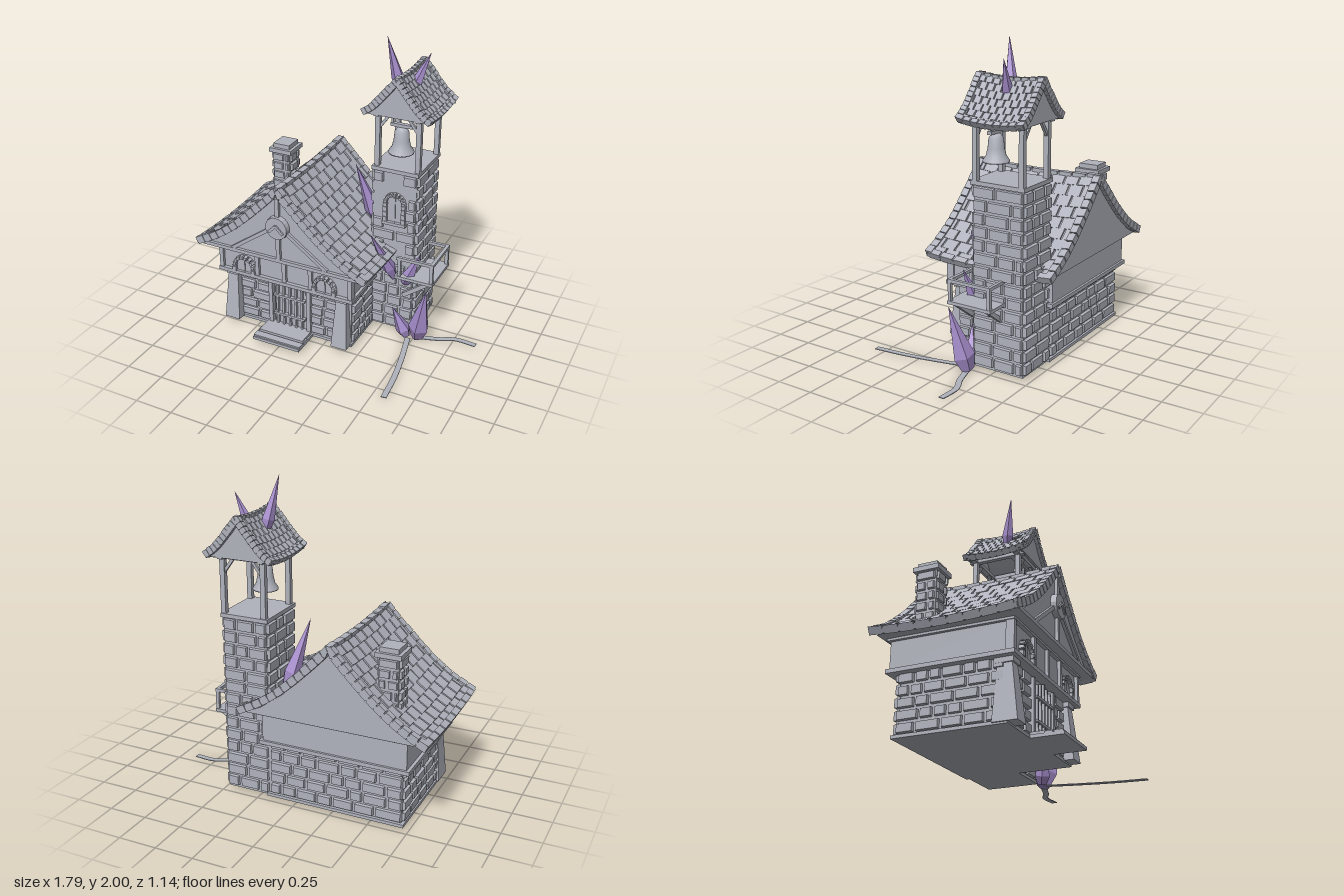
import * as THREE from 'three';
import { mergeGeometries } from 'three/addons/utils/BufferGeometryUtils.js';

const grey = new THREE.MeshStandardMaterial({ color: 0xb0b3bd });
grey.name = 'stone grey';
const purple = new THREE.MeshStandardMaterial({ color: 0xa990cf });
purple.name = 'crystal purple';

let seed = 7;
const rnd = () => (seed = (seed * 16807) % 2147483647) / 2147483647;
const V = (x, y, z) => new THREE.Vector3(x, y, z);

// merges flat-shaded pieces into one named mesh
function part(parent, name, geos, mat = grey) {
  const flat = geos.map(g => {
    const f = g.index ? g.toNonIndexed() : g;
    f.deleteAttribute('uv');
    f.computeVertexNormals();
    return f;
  });
  const mesh = new THREE.Mesh(mergeGeometries(flat), mat);
  mesh.name = name;
  parent.add(mesh);
}

// box given by its limits on each axis
const span = (x0, x1, y0, y1, z0, z1) =>
  new THREE.BoxGeometry(x1 - x0, y1 - y0, z1 - z0).translate((x0 + x1) / 2, (y0 + y1) / 2, (z0 + z1) / 2);

// square timber between two points
function beam(a, b, w) {
  const d = b.clone().sub(a);
  const q = new THREE.Quaternion().setFromUnitVectors(V(0, 1, 0), d.clone().normalize());
  return new THREE.BoxGeometry(w, d.length(), w).applyQuaternion(q).translate(...a.clone().add(b).multiplyScalar(0.5).toArray());
}

// box whose outer (+z) face is chamfered inwards
function stone(w, h, d, inset = 0.007) {
  const g = new THREE.BoxGeometry(w, h, d), p = g.attributes.position;
  for (let i = 0; i < p.count; i++) if (p.getZ(i) > 0)
    p.setXY(i, p.getX(i) - Math.sign(p.getX(i)) * inset, p.getY(i) - Math.sign(p.getY(i)) * inset);
  return g;
}

// staggered courses of stones on a wall; skip(x, y) leaves openings
function stoneWall(width, y0, y1, rows, size, turn, x, z, skip = () => false) {
  const out = [], h = (y1 - y0) / rows;
  for (let r = 0; r < rows; r++) {
    let u = -width / 2;
    while (u < width / 2 - 0.01) {
      let w = size * (0.65 + rnd() * 0.7);
      if (width / 2 - u - w < size * 0.4) w = width / 2 - u;
      const cx = u + w / 2, cy = y0 + (r + 0.5) * h;
      if (!skip(cx, cy))
        out.push(stone(w - 0.01, h - 0.01, 0.03 + rnd() * 0.012).translate(cx, cy, 0).rotateY(turn).translate(x, 0, z));
      u += w;
    }
  }
  return out;
}

// arch of wedge stones with straight legs
function arch(cx, cy, r, foot, z, n = 9) {
  const out = [], w = 0.026;
  for (let i = 0; i < n; i++) {
    const a = (i + 0.5) / n * Math.PI;
    out.push(stone(w, Math.PI * r / n - 0.003, 0.035, 0.003).rotateZ(a).translate(cx + Math.cos(a) * r, cy + Math.sin(a) * r, z));
  }
  for (const s of [-1, 1]) for (let y = foot; y < cy - 0.005; y += 0.035)
    out.push(span(cx + s * r - w / 2, cx + s * r + w / 2, y, Math.min(y + 0.032, cy), z - 0.017, z + 0.017));
  return out;
}

// arched plank panel
function archPanel(cx, cy, r, foot, z, depth) {
  const s = new THREE.Shape();
  s.moveTo(cx - r, foot).lineTo(cx + r, foot).lineTo(cx + r, cy).absarc(cx, cy, r, 0, Math.PI).lineTo(cx - r, foot);
  return new THREE.ExtrudeGeometry(s, { depth, bevelEnabled: false, curveSegments: 10 }).translate(0, 0, z);
}

// sagging two-sided roof: slabs, tiles, edge tiles and ridge caps
function roof(group, name, { pts, cx, z0, z1, sag, thick, rows, tile, gap, edge, hole }) {
  const curve = new THREE.SplineCurve(pts.map(p => new THREE.Vector2(...p)));
  const at = (side, t, z, lift) => {
    const p = curve.getPointAt(t), n = curve.getTangentAt(t), f = (2 * z - z0 - z1) / (z1 - z0);
    return V(cx + side * Math.max(0, p.x - n.y * lift), p.y + n.x * lift - sag * (1 - f * f), z);
  };
  const panel = (side, t0, t1, a, b, l0, l1, nt = 1, nz = 1) => {
    const g = new THREE.BoxGeometry(1, 1, 1, nt, 1, nz), p = g.attributes.position;
    for (let i = 0; i < p.count; i++) {
      const u = (p.getX(i) * side + 0.5), t = t0 + u * (t1 - t0);
      const q = at(side, t, a + (p.getZ(i) + 0.5) * (b - a), l0 + (p.getY(i) + 0.5) * (l1 - l0));
      p.setXYZ(i, q.x, q.y, q.z);
    }
    return g;
  };
  const slabs = [], tiles = [], trim = [];
  for (const s of [-1, 1]) {
    if (hole && s === hole.side) {
      const { t0, t1, a, b } = hole;
      slabs.push(panel(s, 0, 1, z0, a, -thick, 0, 8, 3), panel(s, 0, 1, b, z1, -thick, 0, 8, 3),
        panel(s, 0, t0, a, b, -thick, 0, 2, 2), panel(s, t1, 1, a, b, -thick, 0, 5, 2));
    } else slabs.push(panel(s, 0, 1, z0, z1, -thick, 0, 10, 8));
    for (let r = 0; r < rows; r++) {
      for (let z = z0 + edge - (r % 2) * tile / 2; z < z1 - edge; z += tile) {
        const a = Math.max(z, z0 + edge), b = Math.min(z + tile - gap, z1 - edge), t = (r + 0.5) / rows;
        if (b - a < gap) continue;
        if (hole && s === hole.side && t > hole.t0 && t < hole.t1 && b > hole.a && a < hole.b) continue;
        tiles.push(panel(s, r / rows, (r + 0.98) / rows, a, b, -0.003, 0.008 + rnd() * 0.004));
      }
    }
    const n = rows + 3;
    for (let i = 0; i < n; i++) for (const z of [z0, z1 - edge])
      trim.push(panel(s, i / n, (i + 0.9) / n, z - 0.004, z + edge + 0.004, -thick - 0.006, 0.016 + rnd() * 0.006));
    for (let z = z0; z < z1 - 0.01; z += tile)
      trim.push(panel(s, 1 - edge / curve.getLength(), 1, z, Math.min(z + tile - gap, z1), -thick - 0.006, 0.017));
  }
  for (let z = z0; z < z1 - 0.01; z += tile) {
    const b = Math.min(z + tile - gap, z1), top = at(1, 0, (z + b) / 2, 0).y;
    trim.push(span(cx - edge / 2, cx + edge / 2, top - 0.025, top + 0.016, z, b));
  }
  part(group, name + 'Slabs', slabs);
  part(group, name + 'Tiles', tiles);
  part(group, name + 'EdgeTiles', trim);
}

// gable prism from a half profile
function gable(pts, cx, drop, base, z0, z1) {
  const l = pts.map(([d, y]) => [d, Math.max(base, y - drop)]);
  const s = new THREE.Shape([...l.map(([d, y]) => new THREE.Vector2(cx + d, y)), new THREE.Vector2(cx + l.at(-1)[0], base - 0.001),
    new THREE.Vector2(cx - l.at(-1)[0], base - 0.001), ...l.slice(1).reverse().map(([d, y]) => new THREE.Vector2(cx - d, y))]);
  return new THREE.ExtrudeGeometry(s, { depth: z1 - z0, bevelEnabled: false }).translate(0, 0, z0);
}

function buildHouse(g) {
  const C = -0.27;
  part(g, 'houseWalls', [span(-0.7, 0.18, 0.02, 0.42, -0.46, 0.2), span(-0.72, 0.19, 0.02, 0.04, -0.48, 0.22)]);
  part(g, 'houseStones', [
    ...stoneWall(0.88, 0.04, 0.42, 5, 0.12, Math.PI, C, -0.46),
    ...stoneWall(0.66, 0.04, 0.4, 5, 0.12, -Math.PI / 2, -0.7, -0.13),
    ...stoneWall(0.3, 0.04, 0.4, 5, 0.11, Math.PI / 2, 0.18, 0.05),
    ...stoneWall(0.25, 0.04, 0.4, 5, 0.11, 0, -0.51, 0.2),
    ...stoneWall(0.22, 0.04, 0.4, 5, 0.11, 0, -0.02, 0.2)]);
  // tapered corner buttresses
  part(g, 'buttresses', [-0.675, 0.125].flatMap(x => {
    const b = span(-0.055, 0.055, 0.03, 0.36, 0.13, 0.28), p = b.attributes.position;
    for (let i = 0; i < p.count; i++) if (p.getY(i) > 0.2) p.setXYZ(i, p.getX(i) * 0.65, 0.36, p.getZ(i) > 0.2 ? 0.24 : 0.15);
    return [b.translate(x, 0, 0), span(x - 0.045, x + 0.045, 0.36, 0.4, 0.14, 0.25)];
  }));
  part(g, 'upperFloor', [span(-0.74, 0.2, 0.4, 0.61, -0.5, 0.25)]);
  part(g, 'upperTimbers', [
    span(-0.76, 0.22, 0.39, 0.415, 0.2, 0.275), span(-0.76, 0.22, 0.585, 0.61, 0.2, 0.275),
    span(-0.76, 0.22, 0.39, 0.415, -0.515, 0.2), span(-0.76, 0.22, 0.585, 0.605, -0.515, 0.2),
    ...[-0.74, -0.47, -0.27, -0.08, 0.2].map(x => span(x - 0.014, x + 0.014, 0.4, 0.6, 0.22, 0.27))]);
  // arched windows
  const wins = [-0.57, 0.02];
  part(g, 'windowArches', wins.flatMap(x => arch(x, 0.45, 0.07, 0.41, 0.262, 8)));
  part(g, 'windowShutters', wins.flatMap(x => [archPanel(x, 0.45, 0.058, 0.41, 0.25, 0.008), span(x - 0.004, x + 0.004, 0.41, 0.5, 0.255, 0.265)]));
  // door with iron lattice
  part(g, 'door', [archPanel(C + 0.015, 0.34, 0.115, 0.05, 0.19, 0.025).applyMatrix4(new THREE.Matrix4().makeScale(1, 0.87, 1)).translate(0, 0.01, 0)]);
  part(g, 'doorLattice', [
    ...[-2, -1, 0, 1, 2].map(i => span(C + 0.015 + i * 0.045 - 0.007, C + 0.015 + i * 0.045 + 0.007, 0.06, 0.385 - Math.abs(i) * 0.015, 0.215, 0.235)),
    ...[0.13, 0.27].map(y => span(C - 0.1, C + 0.13, y, y + 0.016, 0.215, 0.24)),
    ...[-0.395, -0.115].map(x => span(x - 0.014, x + 0.014, 0.04, 0.38, 0.19, 0.235))]);
  part(g, 'steps', [span(-0.43, -0.09, 0.02, 0.04, 0.2, 0.42), span(-0.42, -0.1, 0.035, 0.058, 0.2, 0.35),
    ...[0.3, 0.36].map(z => span(-0.43, -0.09, 0.04, 0.05, z, z + 0.05))]);
  // curved roof and timbered gable
  const pts = [[0, 1.11], [0.15, 0.955], [0.31, 0.805], [0.46, 0.695], [0.61, 0.615]];
  roof(g, 'houseRoof', { pts, cx: C, z0: -0.565, z1: 0.34, sag: 0.02, thick: 0.025, rows: 10, tile: 0.1, gap: 0.012, edge: 0.04 });
  part(g, 'gableWall', [gable(pts.slice(0, 4).concat([[0.56, 0.64]]), C, 0.045, 0.6, -0.54, 0.315)]);
  const z = 0.322;
  part(g, 'gableTimbers', [span(C - 0.57, C + 0.57, 0.598, 0.622, 0.29, 0.335), span(C - 0.014, C + 0.014, 0.61, 1.05, 0.3, 0.335),
    ...[-1, 1].flatMap(s => [beam(V(C + s * 0.34, 0.62, z), V(C + s * 0.05, 0.83, z), 0.024),
      beam(V(C + s * 0.05, 0.82, 0.35), V(C, 0.87, 0.35), 0.018)])]);
  part(g, 'gableDisc', [new THREE.CylinderGeometry(0.075, 0.08, 0.04, 20).rotateX(Math.PI / 2).translate(C, 0.85, 0.33)]);
  // chimney
  const cz = -0.345, cx = -0.58;
  part(g, 'chimney', [span(cx - 0.062, cx + 0.062, 0.7, 1.06, cz - 0.065, cz + 0.065),
    span(cx - 0.082, cx + 0.082, 1.05, 1.08, cz - 0.085, cz + 0.085), span(cx - 0.06, cx + 0.06, 1.08, 1.11, cz - 0.065, cz + 0.065),
    ...[0, 1, 2, 3].flatMap(k => stoneWall(0.13, 0.72, 1.05, 5, 0.08, k * Math.PI / 2,
      cx + Math.sin(k * Math.PI / 2) * 0.06, cz + Math.cos(k * Math.PI / 2) * 0.06))]);
}

function buildTower(g) {
  const X = 0.325, Z = -0.29, opening = (x, y) => Math.abs(x + 0.005) < 0.1 && y > 0.8 && y < 1.05;
  part(g, 'towerWalls', [span(0.18, 0.47, 0.02, 1.17, -0.46, -0.12), span(0.168, 0.484, 1.16, 1.185, -0.474, -0.104)]);
  part(g, 'towerStones', [
    ...stoneWall(0.3, 0.03, 1.16, 14, 0.12, 0, X, -0.12, (x, y) => opening(x, y) || (y > 0.55 && Math.abs(x) < 0.07)),
    ...stoneWall(0.35, 0.03, 1.16, 14, 0.13, Math.PI / 2, 0.47, Z),
    ...stoneWall(0.3, 0.03, 1.16, 14, 0.12, Math.PI, X, -0.46),
    ...stoneWall(0.35, 0.03, 1.16, 14, 0.13, -Math.PI / 2, 0.18, Z)]);
  part(g, 'towerWindow', [archPanel(0.33, 0.95, 0.05, 0.82, -0.12, 0.008), span(0.325, 0.335, 0.82, 0.99, -0.115, -0.105),
    ...arch(0.33, 0.95, 0.062, 0.82, -0.11), span(0.25, 0.41, 0.8, 0.82, -0.13, -0.09)]);
  // open belfry
  const px = [0.197, 0.468], pz = [-0.135, -0.45], T = 1.54;
  part(g, 'belfryFrame', [
    ...px.flatMap(x => pz.map(z => span(x - 0.016, x + 0.016, 1.18, T, z - 0.016, z + 0.016))),
    ...pz.flatMap(z => [span(0.14, 0.53, 1.525, 1.55, z - 0.018, z + 0.018),
      beam(V(px[0], 1.43, z), V(px[0] + 0.08, T, z), 0.018), beam(V(px[1], 1.43, z), V(px[1] - 0.08, T, z), 0.018)]),
    ...px.map(x => span(x - 0.016, x + 0.016, 1.525, 1.55, -0.49, -0.09))]);
  part(g, 'bellYoke', [span(0.26, 0.405, 1.445, 1.465, -0.2, -0.17), beam(V(0.27, 1.455, -0.185), V(0.27, T, -0.185), 0.014),
    beam(V(0.395, 1.455, -0.185), V(0.395, T, -0.185), 0.014), span(0.19, 0.475, 1.53, 1.55, -0.2, -0.17)]);
  const bell = new THREE.Mesh(new THREE.LatheGeometry([[0, 1.45], [0.03, 1.44], [0.045, 1.415], [0.05, 1.36], [0.06, 1.315], [0.08, 1.285],
    [0.08, 1.275], [0.068, 1.28], [0.04, 1.35], [0, 1.42]].reverse().map(p => new THREE.Vector2(...p)), 20), grey);
  bell.name = 'bell';
  bell.position.set(0.332, 0, -0.185);
  g.add(bell);
  // belfry roof with a broken gap
  const pts = [[0, 1.785], [0.08, 1.685], [0.155, 1.6], [0.225, 1.55]];
  roof(g, 'belfryRoof', { pts, cx: 0.337, z0: -0.51, z1: -0.065, sag: 0.02, thick: 0.02, rows: 7, tile: 0.05, gap: 0.009, edge: 0.03,
    hole: { side: -1, t0: 0.08, t1: 0.35, a: -0.25, b: -0.16 } });
  part(g, 'belfryGables', [[-0.49, -0.475], [-0.1, -0.085]].map(([a, b]) => gable(pts, 0.337, 0.03, 1.535, a, b)));
  // balcony
  const bz = [-0.05, -0.325];
  part(g, 'balcony', [span(0.37, 0.632, 0.455, 0.475, -0.34, -0.035), span(0.38, 0.632, 0.592, 0.612, -0.06, -0.04),
    span(0.38, 0.632, 0.592, 0.612, -0.335, -0.315), span(0.61, 0.632, 0.592, 0.612, -0.335, -0.04),
    ...bz.flatMap(z => [span(0.608, 0.63, 0.46, 0.6, z - 0.01, z + 0.01), span(0.39, 0.41, 0.46, 0.6, z - 0.01, z + 0.01)]),
    ...[-0.08, -0.3].map(z => beam(V(0.42, 0.32, z), V(0.6, 0.455, z), 0.028))]);
}

// faceted spike from base to tip
function crystal(tip, base, r) {
  const d = tip.clone().sub(base), L = d.length();
  const q = new THREE.Quaternion().setFromUnitVectors(V(0, 1, 0), d.normalize());
  return new THREE.LatheGeometry([[0, 0], [r * 0.6, 0], [r, L * 0.22], [0, L]].map(p => new THREE.Vector2(...p)), 5)
    .applyQuaternion(q).translate(...base.toArray());
}

// flat root laid along a ground path
function root(points) {
  const c = new THREE.CatmullRomCurve3(points.map(([x, z]) => V(x, 0, z)));
  const g = new THREE.BoxGeometry(1, 0.005, 0.036, 16, 1, 1), p = g.attributes.position;
  for (let i = 0; i < p.count; i++) {
    const t = p.getX(i) + 0.5, o = c.getPointAt(t), n = c.getTangentAt(t), w = p.getZ(i);
    p.setXYZ(i, o.x - n.z * w, p.getY(i) + 0.0025, o.z + n.x * w);
  }
  return g;
}

export function createModel() {
  const model = new THREE.Group();
  model.name = 'chapelWithBellTower';
  for (const [name, build] of [['house', buildHouse], ['bellTower', buildTower]]) {
    const g = new THREE.Group();
    g.name = name;
    build(g);
    model.add(g);
  }
  part(model, 'crystals', [
    [0.02, 1.13, -0.19, 0.14, 0.7, -0.28, 0.055], [0.215, 2, -0.2, 0.285, 1.66, -0.26, 0.04],
    [0.455, 1.9, -0.315, 0.36, 1.66, -0.285, 0.035], [0.24, 0.8, 0.065, 0.34, 0.42, -0.11, 0.045],
    [0.53, 0.65, -0.08, 0.42, 0.4, -0.1, 0.045], [0.6, 0.425, -0.02, 0.52, 0.01, -0.1, 0.07],
    [0.365, 0.24, -0.03, 0.45, 0.01, -0.08, 0.05],
  ].map(([a, b, c, d, e, f, r]) => crystal(V(a, b, c), V(d, e, f), r)), purple);
  part(model, 'roots', [root([[0.47, -0.06], [0.52, 0.16], [0.555, 0.36], [0.575, 0.57]]),
    root([[0.53, -0.1], [0.66, -0.14], [0.76, -0.185], [0.9, -0.18]])]);
  return model;
}
